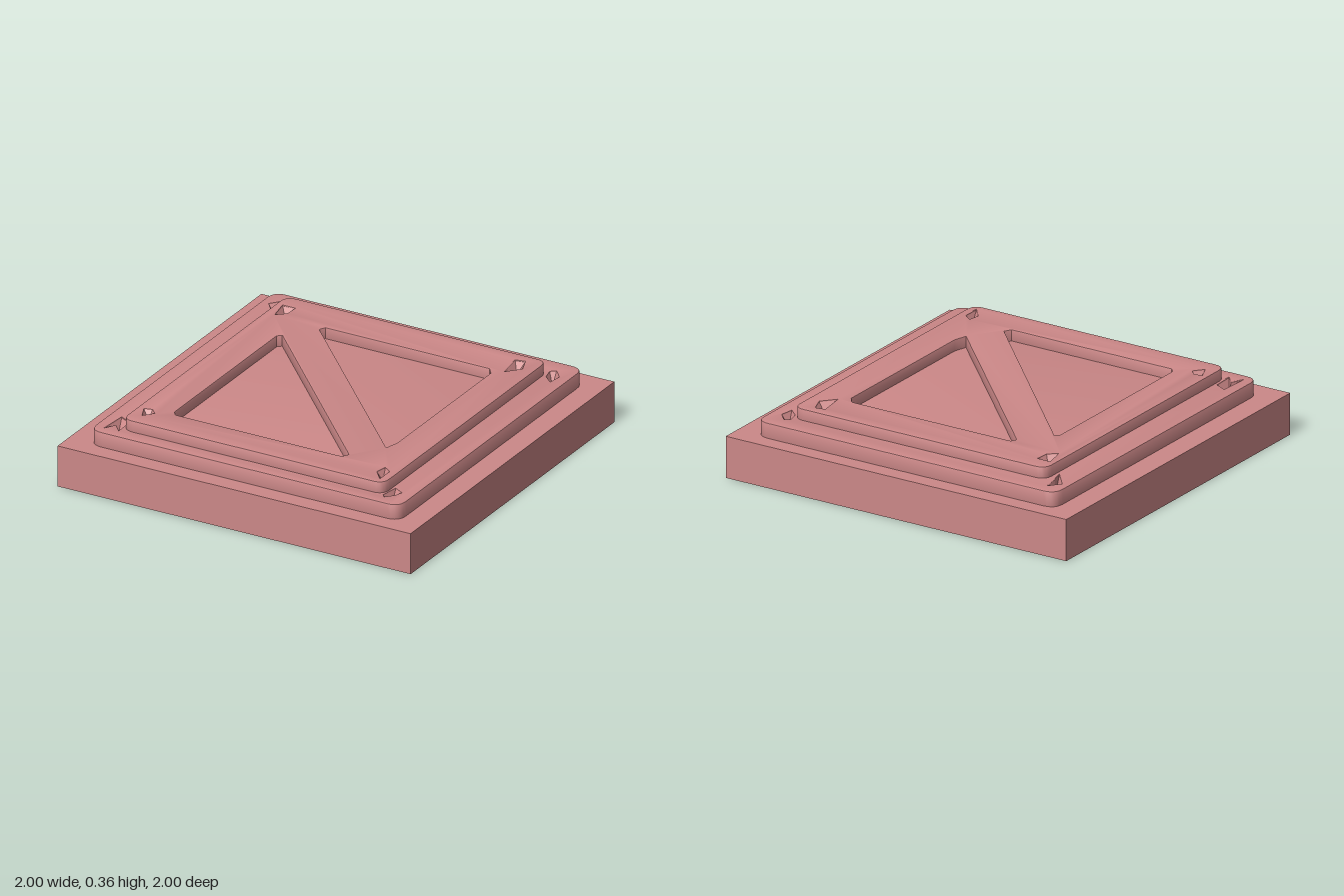
import * as THREE from 'three';
import { toCreasedNormals } from 'three/addons/utils/BufferGeometryUtils.js';

const material = new THREE.MeshStandardMaterial({ color: 0xcc8888 });
const pitMaterial = new THREE.MeshStandardMaterial({ color: 0xcc8888, side: THREE.DoubleSide });
const BEVEL = 0.006;

const toPoints = (list) => list.map(([x, z]) => new THREE.Vector2(x, z));

// Rounded rectangle in plan: shape x = model x, shape y = model z
function roundedPlan(x0, x1, z0, z1, r) {
  const s = new THREE.Shape();
  s.moveTo(x0 + r, z0);
  s.lineTo(x1 - r, z0);
  s.quadraticCurveTo(x1, z0, x1, z0 + r);
  s.lineTo(x1, z1 - r);
  s.quadraticCurveTo(x1, z1, x1 - r, z1);
  s.lineTo(x0 + r, z1);
  s.quadraticCurveTo(x0, z1, x0, z1 - r);
  s.lineTo(x0, z0 + r);
  s.quadraticCurveTo(x0, z0, x0 + r, z0);
  return s;
}

// Slab with softened edges, pierced by the given outlines
function slab(name, plan, openings, bottom, top) {
  plan.holes = openings.map((o) => new THREE.Path(toPoints(o)));
  const geo = new THREE.ExtrudeGeometry(plan, {
    depth: top - bottom, bevelEnabled: true, bevelSize: BEVEL, bevelOffset: -BEVEL,
    bevelThickness: BEVEL, bevelSegments: 2, curveSegments: 6,
  });
  geo.rotateX(Math.PI / 2);
  geo.translate(0, top - BEVEL, 0);
  const mesh = new THREE.Mesh(toCreasedNormals(geo, 0.6), material);
  mesh.name = name;
  return mesh;
}

// Faceted dent: a fan from the rim down to a low point
function pit(name, rim, top, depth) {
  const cx = rim.reduce((s, p) => s + p[0], 0) / rim.length;
  const cz = rim.reduce((s, p) => s + p[1], 0) / rim.length;
  const pos = [];
  rim.forEach(([x, z], i) => {
    const [nx, nz] = rim[(i + 1) % rim.length];
    pos.push(x, top - BEVEL, z, cx, top - depth, cz, nx, top - BEVEL, nz);
  });
  const geo = new THREE.BufferGeometry();
  geo.setAttribute('position', new THREE.Float32BufferAttribute(pos, 3));
  geo.computeVertexNormals();
  const mesh = new THREE.Mesh(geo, pitMaterial);
  mesh.name = name;
  return mesh;
}

export function createModel() {
  const group = new THREE.Group();
  group.name = 'steppedPlate';

  // Square plinth
  const base = new THREE.Mesh(new THREE.BoxGeometry(2, 0.22, 2), material);
  base.name = 'base';
  base.position.y = 0.11;
  group.add(base);

  // Corner dents on each step
  const lowerPits = [
    [[-0.83, -0.78], [-0.785, -0.84], [-0.775, -0.76], [-0.755, -0.69]],
    [[0.75, -0.8], [0.775, -0.82], [0.82, -0.77], [0.81, -0.7], [0.765, -0.74]],
    [[-0.81, 0.7], [-0.75, 0.73], [-0.745, 0.84], [-0.79, 0.79], [-0.82, 0.85]],
    [[0.76, 0.73], [0.81, 0.76], [0.795, 0.8], [0.76, 0.84], [0.745, 0.825]],
  ];
  const upperPits = [
    [[-0.7, -0.69], [-0.63, -0.69], [-0.635, -0.62], [-0.68, -0.58]],
    [[0.6, -0.72], [0.65, -0.73], [0.68, -0.65], [0.62, -0.58]],
    [[-0.7, 0.67], [-0.66, 0.66], [-0.63, 0.69], [-0.67, 0.74]],
    [[0.66, 0.66], [0.7, 0.69], [0.7, 0.78], [0.65, 0.72]],
  ];

  // Triangular recesses either side of the diagonal bar
  const recesses = [
    [[-0.405, -0.54], [-0.39, -0.57], [0.54, -0.57], [0.57, -0.53], [0.57, 0.39], [0.55, 0.46]],
    [[-0.55, -0.37], [-0.53, -0.39], [0.43, 0.62], [0.41, 0.655], [-0.53, 0.655], [-0.55, 0.63]],
  ];

  group.add(slab('lowerStep', roundedPlan(-0.875, 0.88, -0.91, 0.905, 0.07), lowerPits, 0.21, 0.3));
  group.add(slab('upperFrame', roundedPlan(-0.735, 0.745, -0.785, 0.825, 0.06),
    [...recesses, ...upperPits], 0.29, 0.36));
  lowerPits.forEach((rim) => group.add(pit('lowerDent', rim, 0.3, 0.06)));
  upperPits.forEach((rim) => group.add(pit('upperDent', rim, 0.36, 0.05)));
  return group;
}
